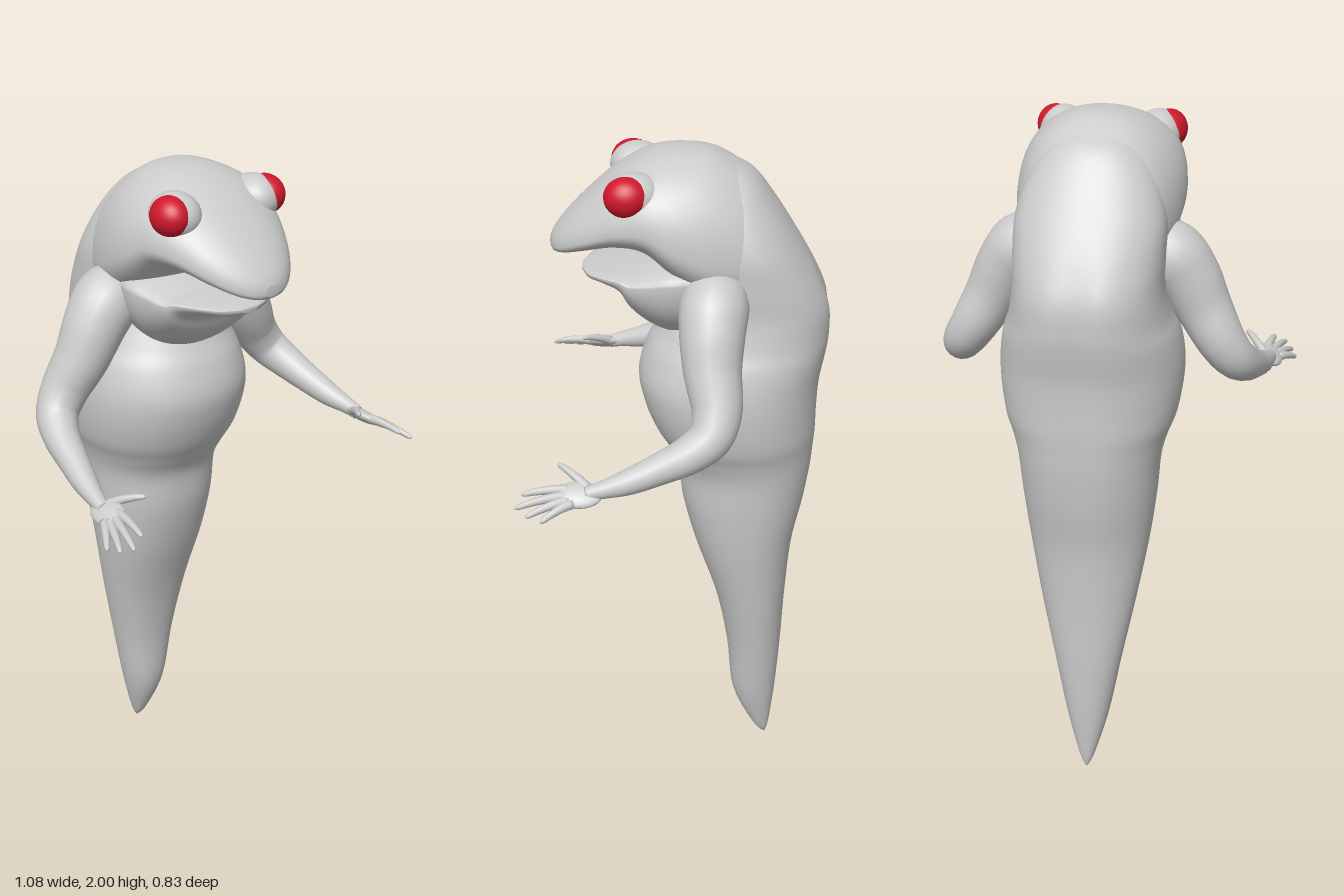
import * as THREE from 'three';

const grey = new THREE.MeshStandardMaterial({ color: 0xcccccc });
const red = new THREE.MeshStandardMaterial({ color: 0xd0182c });

// Closed smooth skin over a list of rings (arrays of Vector3), capped at both ends
function skin(rings) {
  const n = rings[0].length, pos = [], idx = [];
  const mean = (r) => r.reduce((a, p) => a.add(p), new THREE.Vector3()).divideScalar(n);
  rings.forEach((r) => r.forEach((p) => pos.push(p.x, p.y, p.z)));
  for (let i = 0; i < rings.length - 1; i++) {
    for (let j = 0; j < n; j++) {
      const a = i * n + j, b = i * n + (j + 1) % n;
      idx.push(a, b, b + n, a, b + n, a + n);
    }
  }
  const last = (rings.length - 1) * n, c0 = rings.length * n;
  [mean(rings[0]), mean(rings[rings.length - 1])].forEach((p) => pos.push(p.x, p.y, p.z));
  for (let j = 0; j < n; j++) {
    const k = (j + 1) % n;
    idx.push(c0, k, j, c0 + 1, last + j, last + k);
  }
  const g = new THREE.BufferGeometry();
  g.setAttribute('position', new THREE.Float32BufferAttribute(pos, 3));
  g.setIndex(idx);
  g.computeVertexNormals();
  return g;
}

// Catmull-Rom between number rows
function smoothRows(rows, steps) {
  const out = [];
  const at = (i) => rows[Math.min(Math.max(i, 0), rows.length - 1)];
  for (let i = 0; i < rows.length - 1; i++) {
    for (let s = 0; s < steps; s++) {
      const t = s / steps;
      out.push(rows[i].map((p1, k) => {
        const p0 = at(i - 1)[k], p2 = at(i + 1)[k], p3 = at(i + 2)[k];
        return 0.5 * (2 * p1 + (p2 - p0) * t + (2 * p0 - 5 * p1 + 4 * p2 - p3) * t * t
          + (3 * p1 - p0 - 3 * p2 + p3) * t * t * t);
      }));
    }
  }
  out.push(rows[rows.length - 1]);
  return out;
}

// Loft along z; rows are [z, half width, low y, high y], widest at fraction mid
function loft(rows, mid, power = 2, shape = (p) => p) {
  const n = 48;
  const pw = (v) => Math.sign(v) * Math.abs(v) ** (2 / power);
  return skin(smoothRows(rows, 6).map(([z, w, lo, hi]) => Array.from({ length: n }, (_, j) => {
    const a = (j / n) * Math.PI * 2, s = pw(Math.sin(a)), m = lo + (hi - lo) * mid;
    return shape(new THREE.Vector3(w * pw(Math.cos(a)), m + s * (s > 0 ? hi - m : m - lo), z), s);
  })));
}

// Tapered limb; rows are [x, y, z, radius]
function limb(rows, side, n = 20, steps = 6) {
  const fine = smoothRows(rows, steps);
  const curve = new THREE.CatmullRomCurve3(rows.map(([x, y, z]) => new THREE.Vector3(side * x, y, z)));
  const seg = fine.length - 1, rings = [];
  // Frames carried along the path by parallel transport
  let normal = null;
  fine.forEach(([x, y, z, r], i) => {
    const tan = curve.getTangent(i / seg);
    if (!normal) normal = new THREE.Vector3(0, 1, 0.3);
    normal = normal.clone().addScaledVector(tan, -normal.dot(tan)).normalize();
    const bin = new THREE.Vector3().crossVectors(tan, normal);
    rings.push(Array.from({ length: n }, (_, j) => {
      const a = (j / n) * Math.PI * 2;
      return new THREE.Vector3(side * x, y, z)
        .addScaledVector(normal, Math.cos(a) * r).addScaledVector(bin, Math.sin(a) * r);
    }));
  });
  return skin(rings);
}

export function createModel() {
  const model = new THREE.Group();
  const add = (name, geo, parent = model, mat = grey) => {
    const m = new THREE.Mesh(geo, mat);
    m.name = name;
    parent.add(m);
    return m;
  };
  const ball = (name, parent, mat, p, r) => {
    const m = add(name, new THREE.SphereGeometry(1, 32, 20), parent, mat);
    m.position.set(...p);
    m.scale.set(...r);
    return m;
  };

  // Body and tail: [y, half width, -front z, -back z], turned upright
  const bodyRows = [
    [0.0, 0.004, 0.28, 0.29], [0.05, 0.026, 0.243, 0.3], [0.2, 0.066, 0.178, 0.314],
    [0.4, 0.102, 0.155, 0.325], [0.6, 0.14, 0.115, 0.332], [0.8, 0.174, 0.05, 0.347],
    [0.95, 0.192, 0.012, 0.375], [1.07, 0.202, 0.0, 0.392], [1.14, 0.218, -0.035, 0.397],
    [1.2, 0.24, -0.07, 0.4], [1.28, 0.253, -0.1, 0.4], [1.36, 0.254, -0.112, 0.404],
    [1.44, 0.24, -0.09, 0.418], [1.5, 0.218, -0.055, 0.425], [1.58, 0.203, -0.01, 0.42],
    [1.66, 0.203, 0.01, 0.385], [1.76, 0.2, 0.02, 0.325], [1.86, 0.165, 0.03, 0.26],
    [1.93, 0.11, 0.05, 0.205], [1.97, 0.04, 0.08, 0.14],
  ];
  const groove = (p, s) => {
    const fade = THREE.MathUtils.smoothstep(p.z, 0.6, 1.2) * (1 - THREE.MathUtils.smoothstep(p.z, 1.55, 1.75));
    if (s > 0) p.y -= 0.014 * fade * Math.exp(-((p.x / 0.04) ** 2));
    return p;
  };
  add('bodyAndTail', loft(bodyRows, 0.52, 2.15, groove).rotateX(-Math.PI / 2));

  // Head with overhanging snout
  add('head', loft([
    [-0.31, 0.06, 1.62, 1.74], [-0.27, 0.13, 1.6, 1.83], [-0.2, 0.187, 1.6, 1.925],
    [-0.1, 0.22, 1.6, 1.99], [0.0, 0.23, 1.66, 2.0], [0.085, 0.214, 1.735, 1.983],
    [0.165, 0.186, 1.748, 1.938], [0.245, 0.145, 1.732, 1.872], [0.3, 0.102, 1.718, 1.818],
    [0.333, 0.058, 1.715, 1.778], [0.346, 0.02, 1.725, 1.753],
  ], 0.36, 2.1));

  // Lower jaw and throat pouch
  add('lowerJaw', loft([
    [-0.1, 0.19, 1.5, 1.74], [0.0, 0.212, 1.49, 1.745], [0.07, 0.2, 1.515, 1.725],
    [0.125, 0.184, 1.565, 1.703], [0.155, 0.168, 1.62, 1.697], [0.2, 0.135, 1.642, 1.688],
    [0.24, 0.085, 1.645, 1.678], [0.262, 0.025, 1.655, 1.67],
  ], 0.78));

  for (const side of [1, -1]) {
    const label = side > 0 ? 'left' : 'right';

    // Eye and the mound behind it
    ball(label + 'EyeMound', model, grey, [side * 0.132, 1.905, 0.112], [0.066, 0.064, 0.078]);
    ball(label + 'Eye', model, red, [side * 0.16, 1.913, 0.128], [0.05, 0.053, 0.06]);

    // Arm from shoulder through the bent elbow to the wrist
    const arm = new THREE.Group();
    arm.name = label + 'Arm';
    model.add(arm);
    add(label + 'ArmLimb', limb([
      [0.13, 1.67, -0.11, 0.07], [0.2, 1.635, -0.1, 0.092], [0.25, 1.575, -0.095, 0.088],
      [0.295, 1.49, -0.097, 0.078], [0.345, 1.405, -0.11, 0.068], [0.385, 1.345, -0.095, 0.06],
      [0.412, 1.305, -0.04, 0.052], [0.43, 1.27, 0.04, 0.043], [0.447, 1.24, 0.12, 0.035],
      [0.46, 1.222, 0.19, 0.024], [0.464, 1.212, 0.23, 0.02],
    ], side), arm);

    // Tilted palm with a thumb and four fingers
    const palm = ball(label + 'Palm', arm, grey, [side * 0.466, 1.21, 0.25], [0.04, 0.017, 0.064]);
    palm.rotation.z = -side * 0.55;
    const tilt = (x) => 1.21 - 0.6 * (x - 0.466);
    const fingers = [
      [0.45, 0.225, 0.387, 0.31], [0.453, 0.275, 0.468, 0.4], [0.468, 0.28, 0.503, 0.415],
      [0.48, 0.275, 0.525, 0.385], [0.488, 0.265, 0.538, 0.345],
    ];
    fingers.forEach(([x0, z0, x1, z1], i) => {
      const rows = [[0, 0.014], [0.35, 0.012], [0.7, 0.0095], [0.93, 0.007], [1, 0.002]].map(([t, r]) => {
        const x = x0 + (x1 - x0) * t;
        return [x, tilt(x) + 0.006 * Math.sin(t * Math.PI), z0 + (z1 - z0) * t, r];
      });
      add(label + (i ? 'Finger' + i : 'Thumb'), limb(rows, side, 10, 3), arm);
    });
  }
  return model;
}
